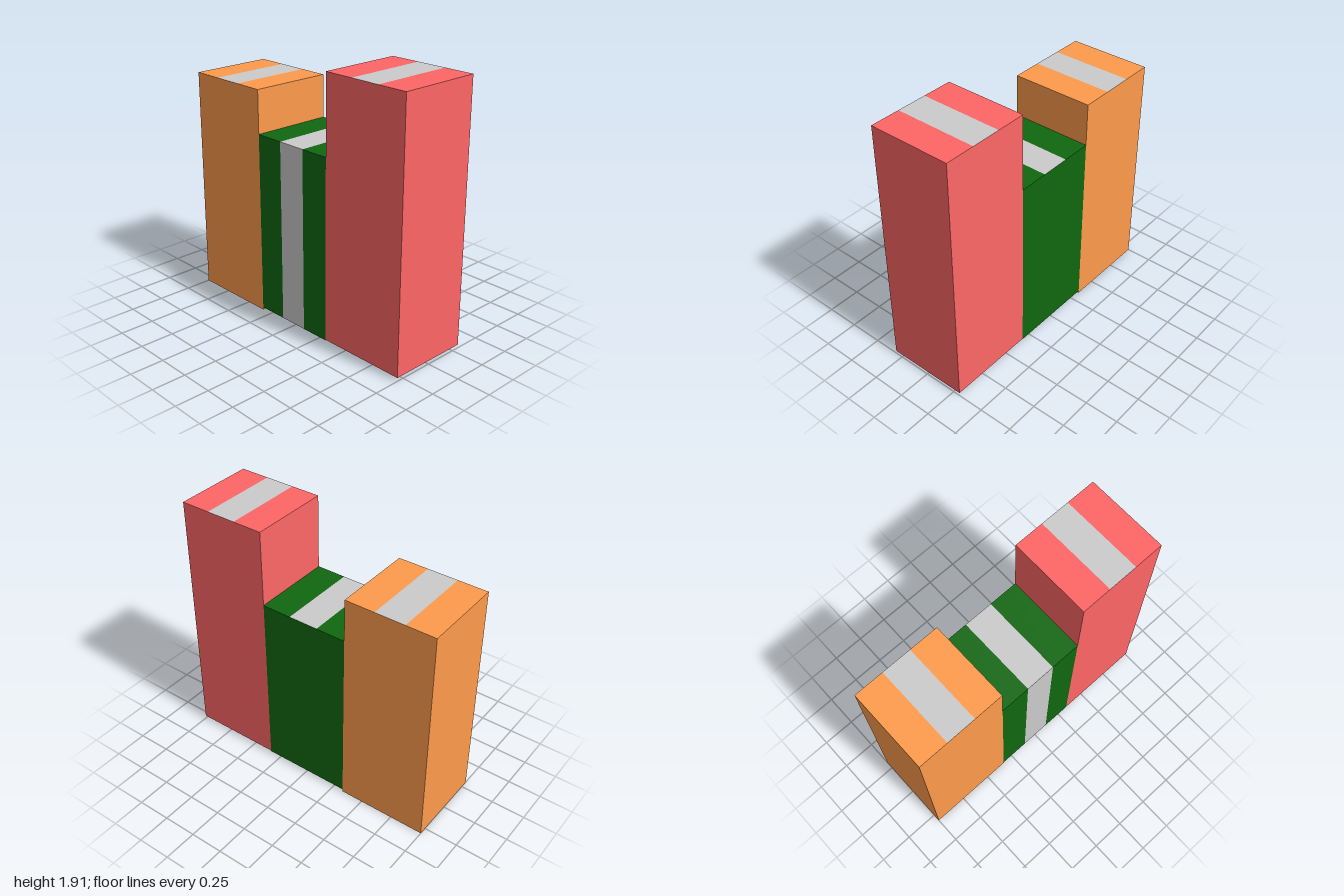
import * as THREE from 'three';

const WIDTH = 2 / 3;
const DEPTH = 0.61;

// A block three segments wide, so its middle third can carry a plain grey stripe.
function makeBlock(name, color, x, bottom, top, frontStripe) {
  const height = top - bottom;
  const geometry = new THREE.BoxGeometry(WIDTH, height, DEPTH, 3, 1, 1);
  const painted = 0, plain = 1;
  geometry.clearGroups();
  geometry.addGroup(0, 12, painted); // both ends
  // top: painted, grey stripe, painted
  geometry.addGroup(12, 6, painted);
  geometry.addGroup(18, 6, plain);
  geometry.addGroup(24, 6, painted);
  geometry.addGroup(30, 18, plain); // underside
  // front, with an optional stripe
  geometry.addGroup(48, 6, painted);
  geometry.addGroup(54, 6, frontStripe ? plain : painted);
  geometry.addGroup(60, 6, painted);
  geometry.addGroup(66, 18, painted); // back

  const block = new THREE.Mesh(geometry, [
    new THREE.MeshStandardMaterial({ color }),
    new THREE.MeshStandardMaterial({ color: 0xcccccc }),
  ]);
  block.name = name;
  block.position.set(x, bottom + height / 2, 0);
  return block;
}

export function createModel() {
  const model = new THREE.Group();
  model.name = 'blockRow';
  model.add(
    makeBlock('orangeBlock', 0xff9b4c, -WIDTH, 0, 1.67, false),
    makeBlock('greenBlock', 0x106810, 0, 0.02, 1.353, true),
    makeBlock('redBlock', 0xff6666, WIDTH, 0.025, 1.915, false),
  );
  return model;
}
